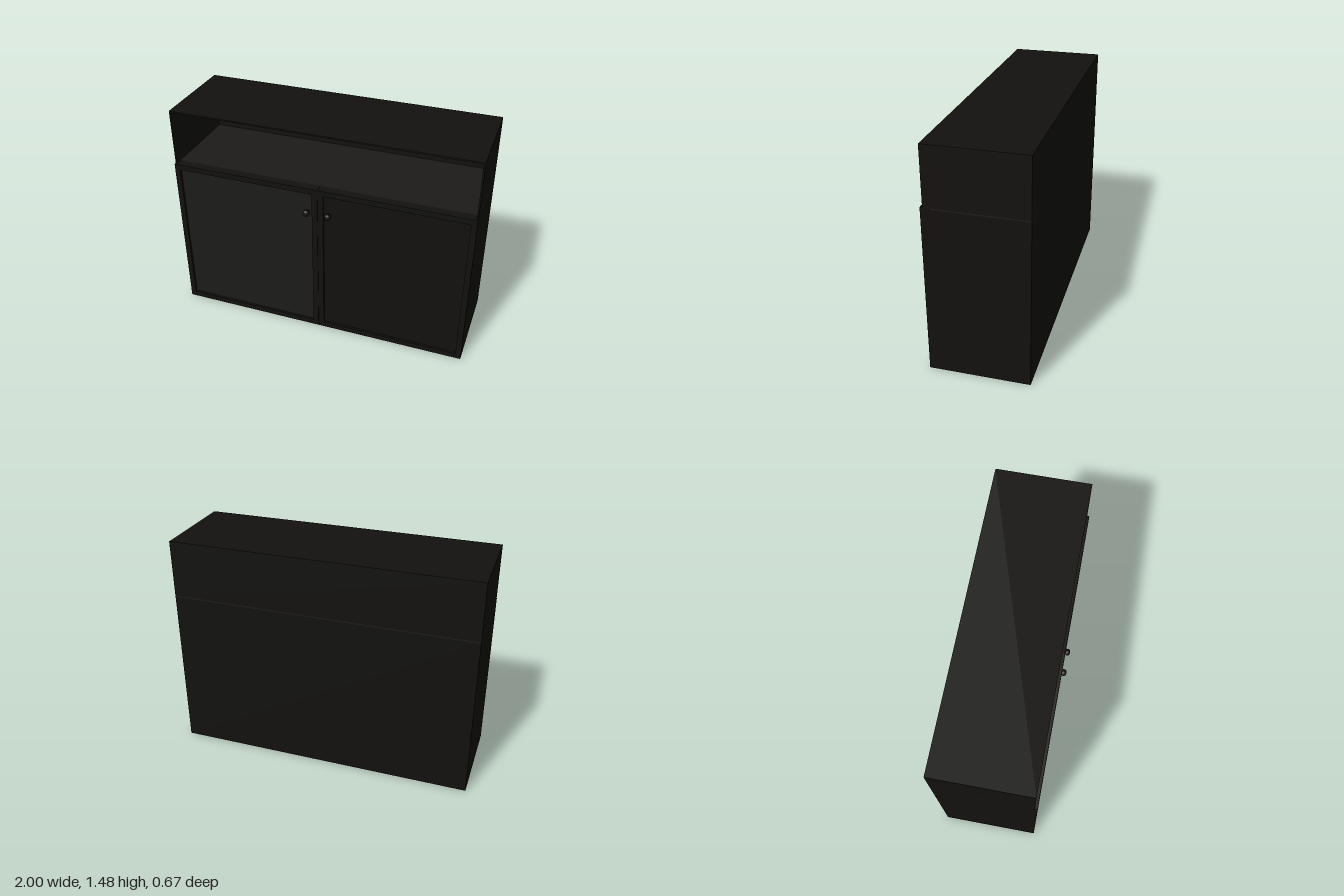
import * as THREE from 'three';

export function createModel() {
  const model = new THREE.Group();
  const dark = new THREE.MeshStandardMaterial({ color: 0x12110f });
  const light = new THREE.MeshStandardMaterial({ color: 0x1c1b19 });

  // Box given by its min and max corners
  const box = (name, [x0, y0, z0], [x1, y1, z1], material = dark, parent = model) => {
    const mesh = new THREE.Mesh(new THREE.BoxGeometry(x1 - x0, y1 - y0, z1 - z0), material);
    mesh.position.set((x0 + x1) / 2, (y0 + y1) / 2, (z0 + z1) / 2);
    mesh.name = name;
    parent.add(mesh);
  };

  const top = 1.475, shelf = 1.1, back = -0.33, front = 0.29, doorBack = 0.245, doorFront = 0.305;
  const t = 0.01;

  // Lower carcass with the open shelf's floor on top
  box('carcass', [-1, 0, back], [1, shelf - t, doorBack]);
  box('shelfFloor', [-1, shelf - t, back], [1, shelf, doorBack], light);

  // Thin panels around the open shelf
  box('backPanel', [-1 + t, shelf, back], [1 - t, top - t, back + t]);
  box('topPanel', [-1, top - t, back], [1, top, front]);
  box('rightPanel', [-1, shelf, back], [-1 + t, top - t, front]);
  box('leftPanel', [1 - t, shelf, back], [1, top - t, front]);

  // Knob profile: narrow stem and rounded head
  const knobProfile = [[0, 0], [0.012, 0], [0.012, 0.012], [0.019, 0.016], [0.022, 0.024],
    [0.022, 0.032], [0.018, 0.04], [0.01, 0.044], [0, 0.045]].map(p => new THREE.Vector2(...p));
  const knobGeometry = new THREE.LatheGeometry(knobProfile, 24);
  knobGeometry.rotateX(Math.PI / 2);

  // Doors: a frame with a recessed panel and a knob beside the middle
  const border = 0.037;
  for (const side of [-1, 1]) {
    const door = new THREE.Group();
    door.name = side < 0 ? 'rightDoor' : 'leftDoor';
    const x0 = side < 0 ? -1 : 0.001, x1 = side < 0 ? -0.001 : 1;

    const outline = new THREE.Shape([[x0, 0], [x1, 0], [x1, shelf], [x0, shelf]]
      .map(p => new THREE.Vector2(...p)));
    outline.holes.push(new THREE.Path([
      [x0 + border, border], [x0 + border, shelf - border],
      [x1 - border, shelf - border], [x1 - border, border],
    ].map(p => new THREE.Vector2(...p))));
    const frame = new THREE.Mesh(
      new THREE.ExtrudeGeometry(outline, { depth: doorFront - doorBack, bevelEnabled: false }), dark);
    frame.position.z = doorBack;
    frame.name = 'doorFrame';
    door.add(frame);

    box('doorPanel', [x0 + border, border, doorBack], [x1 - border, shelf - border, front],
      side < 0 ? light : dark, door);

    const knob = new THREE.Mesh(knobGeometry, dark);
    knob.position.set(side * 0.072, 0.925, front);
    knob.name = 'knob';
    door.add(knob);
    model.add(door);
  }
  return model;
}
